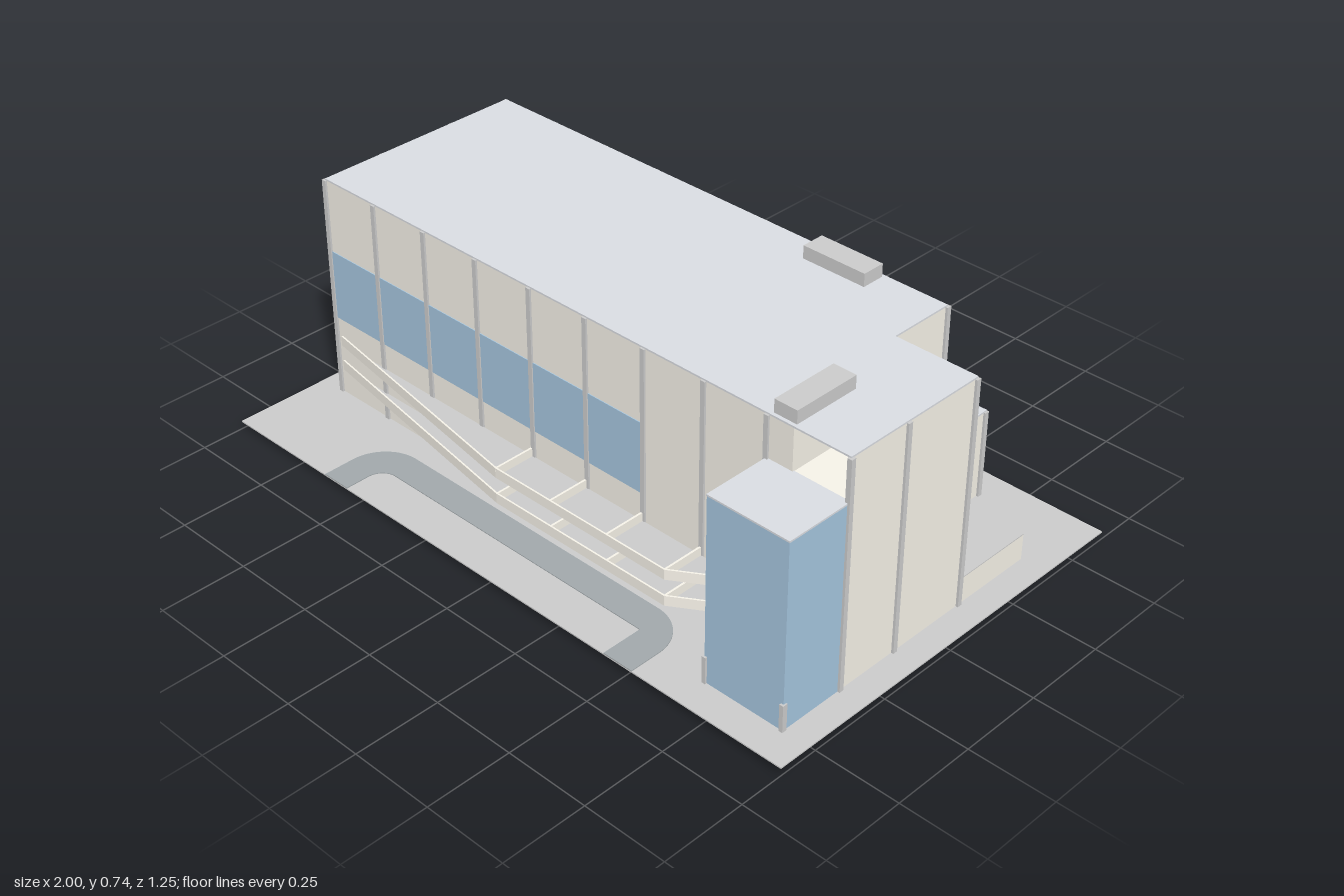
import * as THREE from 'three';

const mat = (color) => new THREE.MeshStandardMaterial({ color, side: THREE.DoubleSide, flatShading: true });

export function createModel() {
  const model = new THREE.Group();
  const wall = mat(0xf6f2e8), roof = mat(0xdadde2), glass = mat(0xa5c5de);
  const grey = mat(0xcccccc), roadMat = mat(0xa1a8ab), paving = mat(0xe2edfa);
  const G = 0.025; // ground level

  const add = (name, geo, material) => {
    const m = new THREE.Mesh(geo, material);
    m.name = name;
    model.add(m);
    return m;
  };
  // box from its minimum and maximum corners
  const box = (name, material, x0, x1, y0, y1, z0, z1) => {
    const g = new THREE.BoxGeometry(x1 - x0, y1 - y0, z1 - z0);
    g.translate((x0 + x1) / 2, (y0 + y1) / 2, (z0 + z1) / 2);
    return add(name, g, material);
  };
  // upright prism on a plan outline of [x, z] corners
  const plan = (pts) => new THREE.Shape(pts.map(([x, z]) => new THREE.Vector2(x, -z)));
  const prism = (name, material, shape, y0, y1) => {
    const g = new THREE.ExtrudeGeometry(shape, { depth: y1 - y0, bevelEnabled: false, curveSegments: 10 });
    g.rotateX(-Math.PI / 2).translate(0, y0, 0);
    return add(name, g, material);
  };

  // site: ground plate, rear paving, drive
  box('ground', grey, -1, 1, 0.021, G, -0.625, 0.62);
  box('rearPaving', paving, -0.72, 0.27, G, 0.027, -0.624, -0.33);
  const drive = new THREE.Shape();
  drive.moveTo(-0.635, -0.62);
  drive.lineTo(-0.635, -0.53);
  drive.absarc(-0.515, -0.525, 0.12, Math.PI, Math.PI / 2, true);
  drive.absarc(0.4, -0.525, 0.12, Math.PI / 2, 0, true);
  drive.lineTo(0.52, -0.62);
  drive.lineTo(0.425, -0.62);
  drive.lineTo(0.425, -0.495);
  drive.lineTo(-0.495, -0.495);
  drive.absarc(-0.495, -0.545, 0.05, Math.PI / 2, Math.PI, false);
  drive.lineTo(-0.545, -0.62);
  prism('driveway', roadMat, drive, G, 0.0275);

  // sloped pit below the ground
  const pit = new THREE.Shape([[0.015, 0.021], [-0.02, 0], [-0.05, 0], [-0.05, 0.021]].map(([z, y]) => new THREE.Vector2(-z, y)));
  const pitGeo = new THREE.ExtrudeGeometry(pit, { depth: 0.075, bevelEnabled: false });
  pitGeo.rotateY(Math.PI / 2).translate(0.82, 0, 0);
  add('servicePit', pitGeo, grey);

  // ground floor with rear arcade and a passage through to the front
  prism('groundFloor', wall, plan([
    [-0.92, 0.325], [0.1, 0.325], [0.1, -0.33], [-0.72, -0.33], [-0.72, -0.53], [-0.92, -0.53],
  ]), G, 0.105);
  prism('groundFloor', wall, plan([
    [0.27, 0.325], [0.92, 0.325], [0.92, -0.13], [0.67, -0.13], [0.67, -0.53], [0.27, -0.53],
  ]), G, 0.105);

  // upper storeys, with a recess behind the top of the tower
  const main = [[-0.92, 0.325], [0.92, 0.325], [0.92, -0.13], [0.67, -0.13], [0.67, -0.33], [-0.92, -0.33]];
  prism('mainBlock', wall, plan(main), 0.105, 0.575);
  prism('topStorey', wall, plan([
    [-0.92, 0.325], [0.75, 0.325], [0.75, 0.11], [0.91, 0.11], [0.91, 0.325], ...main.slice(1),
  ]), 0.575, 0.697);
  prism('mainRoof', roof, plan(main), 0.697, 0.702);

  // rear low block, side annex
  box('rearBlock', wall, -0.92, 0.67, 0.105, 0.29, -0.53, -0.33);
  box('rearRoof', roof, -0.922, 0.672, 0.29, 0.295, -0.532, -0.33);
  box('annex', wall, 0.67, 0.92, G, 0.102, -0.385, -0.13);
  box('annexRoof', grey, 0.67, 0.92, 0.102, 0.105, -0.385, -0.13);

  // glazed tower
  box('tower', glass, 0.67, 0.92, G, 0.572, 0.32, 0.525);
  box('towerRoof', roof, 0.669, 0.921, 0.572, 0.577, 0.32, 0.526);
  for (const x of [0.672, 0.918]) box('towerPost', grey, x - 0.006, x + 0.006, G, 0.105, 0.516, 0.531);

  // long window band
  box('windowBand', glass, -0.918, 0.273, 0.27, 0.48, 0.32, 0.3275);

  // rooftop units
  box('roofUnit', grey, 0.27, 0.47, 0.70, 0.74, -0.32, -0.25);
  box('roofUnit', grey, 0.68, 0.75, 0.70, 0.74, 0.11, 0.315);

  // pilasters along every facade
  const w = 0.007;
  const pilaster = (x, z, y0, y1) => box('pilaster', grey, x - w, x + w, y0, y1, z - w, z + w);
  for (let i = 0; i < 9; i++) {
    const x = -0.92 + i * 0.1987;
    pilaster(x, 0.324, G, 0.698);
    pilaster(x, -0.329, 0.29, 0.698);
    pilaster(x, -0.528, G, 0.291);
  }
  for (const z of [-0.125, 0.125]) {
    pilaster(-0.92, z, G, 0.698);
    pilaster(0.92, z, G, 0.698);
  }
  pilaster(0.92, 0.324, G, 0.698);
  pilaster(-0.92, -0.329, G, 0.29);
  pilaster(0.67, -0.329, G, 0.29);

  // two tiers of tray-shaped canopies with rims and dividers
  const outline = [[-0.9, 0.328], [-0.13, 0.455], [0.47, 0.455], [0.665, 0.33]];
  for (const y of [0.105, 0.185]) {
    prism('canopySlab', grey, plan(outline), y, y + 0.005);
    for (let i = 0; i < 3; i++) {
      const [ax, az] = outline[i], [bx, bz] = outline[i + 1];
      const g = new THREE.BoxGeometry(Math.hypot(bx - ax, bz - az), 0.03, 0.005);
      g.rotateY(-Math.atan2(bz - az, bx - ax)).translate((ax + bx) / 2, y + 0.015, (az + bz) / 2);
      add('canopyRim', g, wall);
    }
    for (const x of [-0.13, 0.07, 0.27, 0.47]) box('canopyDivider', wall, x - 0.003, x + 0.003, y, y + 0.03, 0.325, 0.455);
  }
  return model;
}
